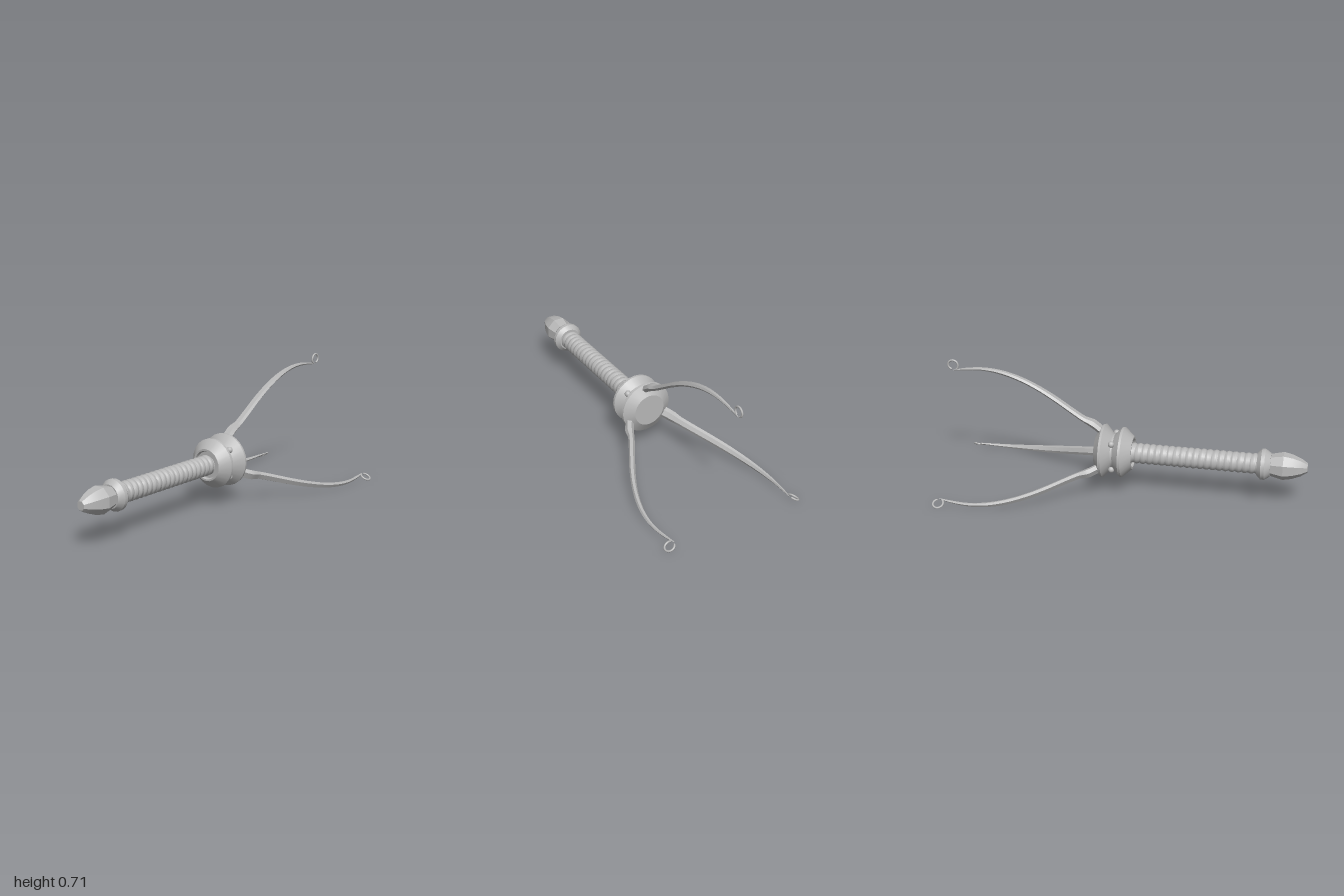
import * as THREE from 'three';
import { toCreasedNormals } from 'three/addons/utils/BufferGeometryUtils.js';

const AXIS_Y = 0.243;

export function createModel() {
  const metal = new THREE.MeshStandardMaterial({ color: 0xb8b8b8 });
  const root = new THREE.Group();
  root.name = 'prongedSceptre';
  const body = new THREE.Group();
  body.name = 'body';
  body.position.y = AXIS_Y;
  root.add(body);

  const add = (name, geometry, parent = body) => {
    const mesh = new THREE.Mesh(geometry, metal);
    mesh.name = name;
    parent.add(mesh);
    return mesh;
  };

  // Turned part along z from [z, radius] pairs, listed back to front
  const turned = (profile, sides, crease, start = 0) => {
    const g = new THREE.LatheGeometry(profile.map(([z, r]) => new THREE.Vector2(r, z)), sides, start);
    g.rotateX(Math.PI / 2);
    return toCreasedNormals(g, crease);
  };

  // Faceted octagonal pommel
  add('pommel', turned([[0.78, 0], [0.78, 0.055], [0.81, 0.062], [0.87, 0.076], [0.92, 0.066],
    [0.965, 0.048], [0.995, 0.029], [1, 0.025], [1, 0]], 8, 0.3, Math.PI / 8));

  // Collar between pommel and grip
  add('pommelCollar', turned([[0.73, 0], [0.73, 0.064], [0.752, 0.085], [0.772, 0.085],
    [0.802, 0.064], [0.802, 0]], 20, 0.4));

  // Grip with one continuous spiral ridge
  const grip = new THREE.CylinderGeometry(1, 1, 0.74, 28, 176, true);
  grip.rotateX(Math.PI / 2);
  const p = grip.attributes.position;
  for (let i = 0; i < p.count; i++) {
    const angle = Math.atan2(p.getY(i), p.getX(i));
    const r = 0.05 + 0.007 * Math.abs(Math.sin(Math.PI * p.getZ(i) / 0.035 + angle / 2));
    p.setXY(i, Math.cos(angle) * r, Math.sin(angle) * r);
  }
  grip.translate(0, 0, 0.39);
  add('grip', toCreasedNormals(grip, 1));

  // Double-flanged guard with a shallow recess around the grip
  add('guard', turned([[-0.16, 0], [-0.16, 0.09], [-0.125, 0.146], [-0.112, 0.148], [-0.066, 0.098],
    [-0.056, 0.098], [-0.018, 0.138], [-0.005, 0.138], [0.048, 0.09], [0.048, 0.08],
    [0.035, 0.074], [0.035, 0]], 24, 0.4));

  // Studs in the guard groove
  for (let i = 0; i < 4; i++) {
    const a = Math.PI / 4 + i * Math.PI / 2;
    add('stud', new THREE.SphereGeometry(0.018, 12, 8))
      .position.set(Math.cos(a) * 0.108, Math.sin(a) * 0.108, -0.061);
  }

  // Prong stations: z, distance from axis, half width, half thickness
  const stations = [
    [-0.10, 0.095, 0.030, 0.016], [-0.13, 0.121, 0.031, 0.018], [-0.18, 0.158, 0.030, 0.019],
    [-0.225, 0.178, 0.025, 0.013], [-0.30, 0.226, 0.024, 0.012], [-0.40, 0.293, 0.023, 0.012],
    [-0.50, 0.350, 0.021, 0.011], [-0.60, 0.393, 0.018, 0.011], [-0.70, 0.420, 0.014, 0.010],
    [-0.80, 0.429, 0.010, 0.008], [-0.90, 0.420, 0.006, 0.006], [-0.96, 0.409, 0.002, 0.002],
  ];
  const section = [[1, 0], [0.6, 1], [-0.6, 1], [-1, 0], [-0.5, -1], [0.5, -1]];
  const path = new THREE.CatmullRomCurve3(stations.map(([z, r]) => new THREE.Vector3(0, r, z)));
  const steps = 44, sides = section.length, verts = [], index = [];
  for (let i = 0; i <= steps; i++) {
    const t = i / steps, s = t * (stations.length - 1);
    const k = Math.min(Math.floor(s), stations.length - 2), f = s - k;
    const c = path.getPoint(t), d = path.getTangent(t);
    const w = THREE.MathUtils.lerp(stations[k][2], stations[k + 1][2], f);
    const h = THREE.MathUtils.lerp(stations[k][3], stations[k + 1][3], f);
    section.forEach(([u, v], j) => {
      verts.push(u * w, c.y - d.z * v * h, c.z + d.y * v * h);
      if (i === steps) return;
      const a = i * sides + j, b = i * sides + (j + 1) % sides;
      index.push(a, a + sides, b, b, a + sides, b + sides);
    });
  }
  for (let j = 1; j < sides - 1; j++) {
    index.push(steps * sides, steps * sides + j + 1, steps * sides + j);
  }
  const blade = new THREE.BufferGeometry();
  blade.setAttribute('position', new THREE.Float32BufferAttribute(verts, 3));
  blade.setIndex(index);
  const bladeGeometry = toCreasedNormals(blade, 0.5);

  // Open curl at the prong tip
  const curl = [];
  for (let i = 0; i <= 16; i++) {
    const a = THREE.MathUtils.degToRad(-50 + i * 18.5), r = 0.031 - 0.0004 * i;
    curl.push(new THREE.Vector3(0, 0.440 + Math.sin(a) * r, -0.963 + Math.cos(a) * r));
  }
  const curlGeometry = new THREE.TubeGeometry(new THREE.CatmullRomCurve3(curl), 40, 0.0055, 8);
  const tipGeometry = new THREE.SphereGeometry(0.0055, 8, 6);

  // Three prongs spaced evenly round the axis
  for (let i = 0; i < 3; i++) {
    const prong = new THREE.Group();
    prong.name = 'prong';
    prong.rotation.z = i * Math.PI * 2 / 3;
    add('prongBlade', bladeGeometry, prong);
    add('prongCurl', curlGeometry, prong);
    add('curlTip', tipGeometry, prong).position.copy(curl[16]);
    body.add(prong);
  }
  return root;
}
